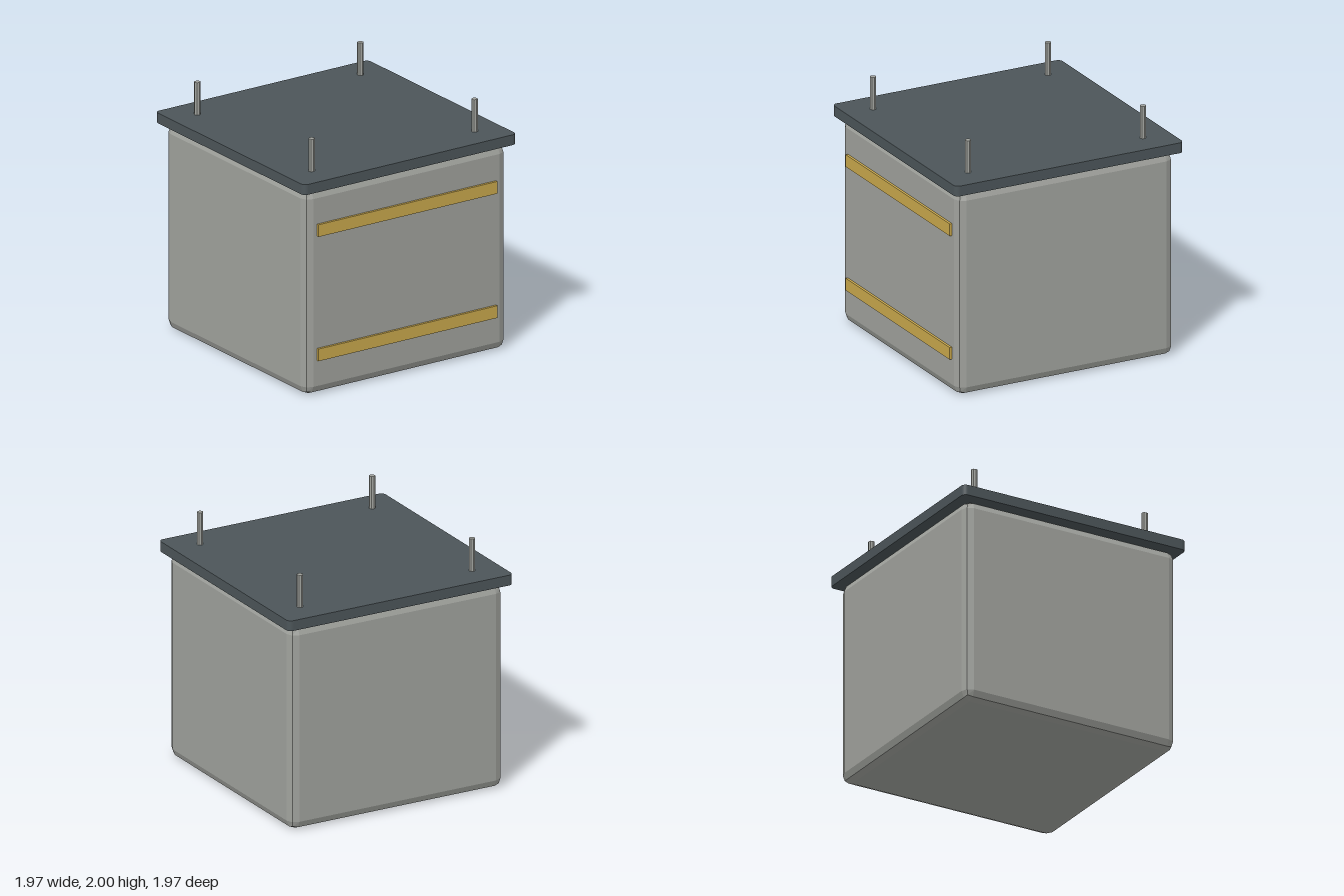
import * as THREE from 'three';
import { RoundedBoxGeometry } from 'three/addons/geometries/RoundedBoxGeometry.js';

function material(name, color) {
  const m = new THREE.MeshStandardMaterial({ color, flatShading: true });
  m.name = name;
  return m;
}

// Square outline with rounded corners
function roundedSquare(h, r) {
  const s = new THREE.Shape();
  s.absarc(h - r, h - r, r, 0, Math.PI / 2);
  s.absarc(-h + r, h - r, r, Math.PI / 2, Math.PI);
  s.absarc(-h + r, -h + r, r, Math.PI, Math.PI * 1.5);
  s.absarc(h - r, -h + r, r, Math.PI * 1.5, Math.PI * 2);
  s.closePath();
  return s;
}

export function createModel() {
  const model = new THREE.Group();
  model.name = 'crate';
  const grey = material('light grey', 0xa0a29d);
  const slate = material('dark slate', 0x4c5559);
  const gold = material('gold', 0xc9a84c);

  const add = (name, geometry, mat, x, y, z) => {
    const mesh = new THREE.Mesh(geometry, mat);
    mesh.name = name;
    mesh.position.set(x, y, z);
    model.add(mesh);
  };

  // Body with softened edges
  add('body', new RoundedBoxGeometry(1.86, 1.655, 1.86, 1, 0.07), grey, 0, 0.8275, 0);

  // Overhanging lid plate
  const lid = new THREE.ExtrudeGeometry(roundedSquare(0.983, 0.04), {
    depth: 0.083, bevelEnabled: false, curveSegments: 4,
  });
  lid.rotateX(-Math.PI / 2);
  add('lid', lid, slate, 0, 1.655, 0);

  // Two stripes across the front
  const stripe = new THREE.BoxGeometry(1.65, 0.098, 0.04);
  add('lowerStripe', stripe, gold, 0, 0.325, 0.93);
  add('upperStripe', stripe, gold, 0, 1.328, 0.93);

  // Four rods standing on the lid
  const rod = new THREE.CylinderGeometry(0.025, 0.025, 0.3, 8);
  for (const x of [-0.753, 0.753])
    for (const z of [-0.753, 0.753]) add('rod', rod, grey, x, 1.85, z);

  return model;
}
